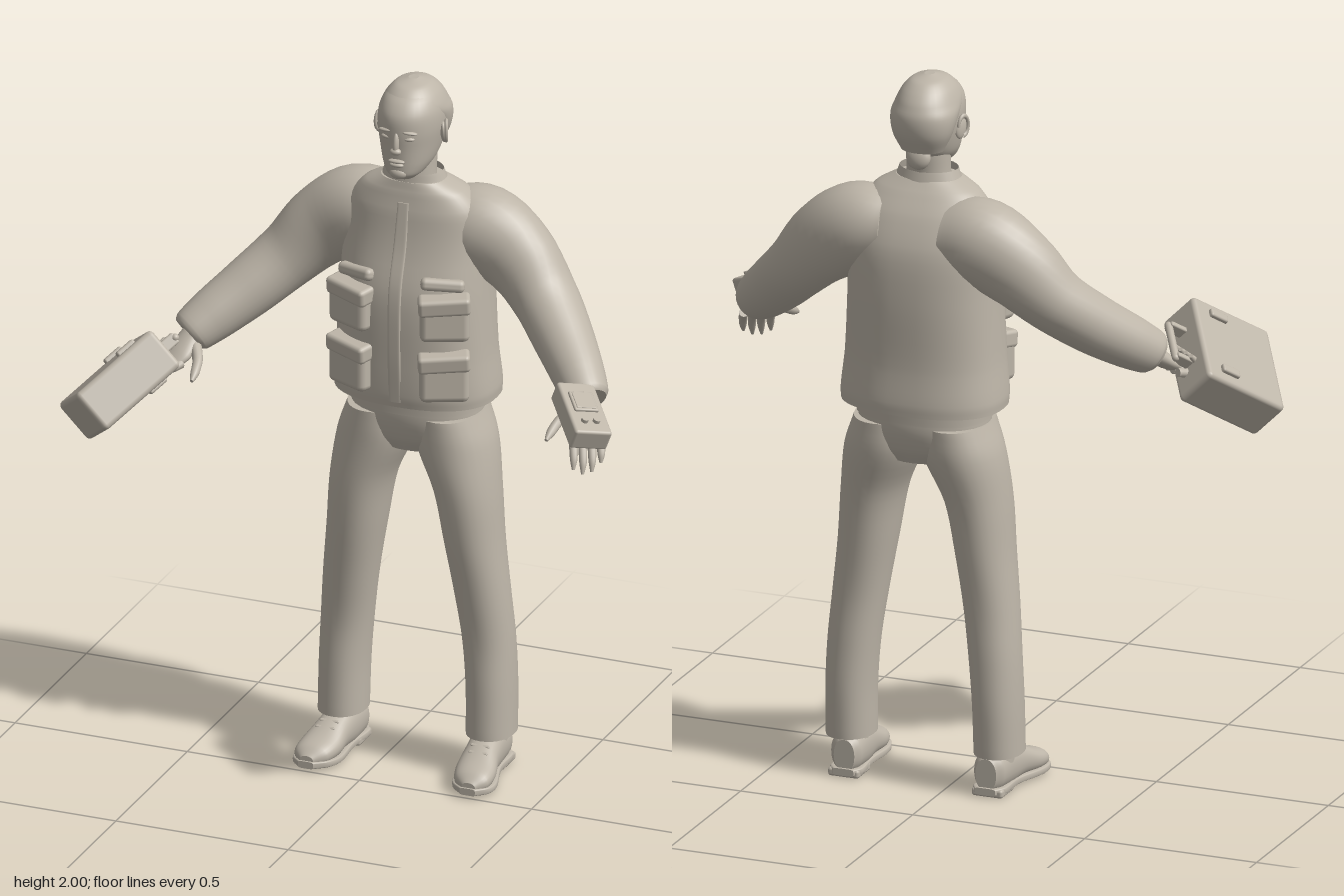
import * as THREE from 'three';
import { RoundedBoxGeometry } from 'three/addons/geometries/RoundedBoxGeometry.js';

const clay = new THREE.MeshStandardMaterial({ color: 0xbdb5a8, side: THREE.DoubleSide });
clay.name = 'warm grey clay';
const V = (x, y, z) => new THREE.Vector3(x, y, z);
const AXIS = { y: [V(0, 1, 0), V(0, 0, 1)], z: [V(0, 0, 1), V(0, 1, 0)] };

// Skin smooth rings through rows of [x, y, z, radiusU, radiusV]; rings face a fixed axis or follow the path
function sweep(rows, { axis, power = 2, steps = 5, sides = 28, caps = true } = {}) {
  const path = new THREE.CatmullRomCurve3(rows.map(r => V(r[0], r[1], r[2])));
  const size = new THREE.CatmullRomCurve3(rows.map(r => V(r[3], r[4] ?? r[3], 0)), false, 'catmullrom', 0.5);
  const n = (rows.length - 1) * steps, pos = [], idx = [];
  const rings = [];
  for (let i = 0; i <= n; i++) {
    const c = path.getPoint(i / n), s = size.getPoint(i / n);
    const t = axis ? AXIS[axis][0] : path.getTangent(i / n);
    const u = (axis ? AXIS[axis][1] : V(0, 1, 0)).clone().cross(t).normalize();
    const v = t.clone().cross(u);
    const ring = [];
    for (let j = 0; j < sides; j++) {
      const a = j / sides * Math.PI * 2, C = Math.cos(a), S = Math.sin(a);
      const p = c.clone()
        .addScaledVector(u, Math.sign(C) * Math.abs(C) ** (2 / power) * s.x)
        .addScaledVector(v, Math.sign(S) * Math.abs(S) ** (2 / power) * s.y);
      ring.push(p);
      pos.push(p.x, p.y, p.z);
    }
    rings.push([c, ring]);
  }
  for (let i = 0; i < n; i++) for (let j = 0; j < sides; j++) {
    const a = i * sides + j, b = i * sides + (j + 1) % sides;
    idx.push(a, b, a + sides, b, b + sides, a + sides);
  }
  if (caps) for (const end of [0, n]) {
    const [c, ring] = rings[end], base = pos.length / 3;
    pos.push(c.x, c.y, c.z);
    ring.forEach(p => pos.push(p.x, p.y, p.z));
    for (let j = 0; j < sides; j++) {
      const a = base + 1 + j, b = base + 1 + (j + 1) % sides;
      end ? idx.push(base, a, b) : idx.push(base, b, a);
    }
  }
  const g = new THREE.BufferGeometry();
  g.setAttribute('position', new THREE.Float32BufferAttribute(pos, 3));
  g.setIndex(idx);
  g.computeVertexNormals();
  return g;
}

function add(parent, name, geo, p = [0, 0, 0], r = [0, 0, 0], s = [1, 1, 1]) {
  const m = new THREE.Mesh(geo, clay);
  m.name = name;
  m.position.set(...p);
  m.rotation.set(...r);
  m.scale.set(...s);
  parent.add(m);
  return m;
}
const ball = new THREE.SphereGeometry(1, 20, 14);
const box = (w, h, d, r = 0.008) => new RoundedBoxGeometry(w, h, d, 2, r);
const flip = (rows, s) => rows.map(([x, ...rest]) => [x * s, ...rest]);

function frame(name, origin, x, y, z) {
  const g = new THREE.Group();
  g.name = name;
  g.quaternion.setFromRotationMatrix(new THREE.Matrix4().makeBasis(V(...x).normalize(), V(...y).normalize(), V(...z).normalize()));
  g.position.set(...origin);
  return g;
}

function buildHead(body) {
  const head = new THREE.Group();
  head.name = 'head';
  body.add(head);
  // Rows given as height, front z, back z, half width
  const skull = [[1.738, -0.095, -0.17, 0.03], [1.755, -0.072, -0.21, 0.05], [1.785, -0.068, -0.262, 0.068],
    [1.83, -0.066, -0.297, 0.08], [1.88, -0.063, -0.31, 0.088], [1.925, -0.068, -0.302, 0.086],
    [1.96, -0.092, -0.28, 0.072], [1.985, -0.13, -0.25, 0.047], [1.998, -0.175, -0.205, 0.014]];
  add(head, 'skull', sweep(skull.map(([y, f, b, w]) => [0, y, (f + b) / 2, w, (f - b) / 2]), { axis: 'y', power: 2.15, sides: 36 }));
  const hair = [[1.80, -0.19, -0.285, 0.06], [1.85, -0.17, -0.309, 0.083], [1.9, -0.13, -0.314, 0.092],
    [1.935, -0.082, -0.302, 0.085], [1.965, -0.1, -0.28, 0.07], [1.988, -0.13, -0.25, 0.047], [2.0, -0.175, -0.205, 0.014]];
  add(head, 'hair', sweep(hair.map(([y, f, b, w]) => [0, y, (f + b) / 2, w, (f - b) / 2]), { axis: 'y', power: 2.1, sides: 36 }));
  add(head, 'napeTuft', ball, [0, 1.785, -0.268], [0.2, 0, 0], [0.035, 0.035, 0.02]);
  add(head, 'neck', sweep([[0, 1.65, -0.2, 0.066, 0.062], [0, 1.72, -0.195, 0.06, 0.06], [0, 1.79, -0.2, 0.06, 0.065]], { axis: 'y' }));
  add(head, 'noseBridge', ball, [0, 1.855, -0.064], [-0.15, 0, 0], [0.009, 0.032, 0.012]);
  add(head, 'noseTip', ball, [0, 1.832, -0.06], [0, 0, 0], [0.016, 0.01, 0.012]);
  add(head, 'upperLip', ball, [0, 1.801, -0.067], [0, 0, 0], [0.024, 0.006, 0.01]);
  add(head, 'lowerLip', ball, [0, 1.79, -0.068], [0, 0, 0], [0.02, 0.007, 0.01]);
  add(head, 'chin', ball, [0, 1.762, -0.08], [0, 0, 0], [0.025, 0.017, 0.016]);
  for (const s of [-1, 1]) {
    add(head, 'eye', ball, [s * 0.034, 1.867, -0.075], [0, s * 0.3, 0], [0.015, 0.006, 0.008]);
    add(head, 'brow', ball, [s * 0.036, 1.886, -0.074], [0, s * 0.3, -s * 0.1], [0.021, 0.005, 0.009]);
    add(head, 'ear', ball, [s * 0.088, 1.855, -0.185], [0.2, s * 0.4, 0], [0.009, 0.032, 0.02]);
    add(head, 'earRim', new THREE.TorusGeometry(0.02, 0.005, 8, 20, 4.8), [s * 0.096, 1.86, -0.185], [0, Math.PI / 2 + s * 0.4, 0], [0.9, 1.4, 1]);
  }
}

function buildJacket(body) {
  add(body, 'jacket', sweep([[0, 1.085, -0.222, 0.228, 0.165], [0, 1.12, -0.22, 0.229, 0.168], [0, 1.22, -0.215, 0.219, 0.165],
    [0, 1.4, -0.218, 0.21, 0.163], [0, 1.54, -0.23, 0.205, 0.138], [0, 1.63, -0.218, 0.19, 0.11],
    [0, 1.685, -0.203, 0.145, 0.083], [0, 1.715, -0.193, 0.09, 0.066]], { axis: 'y', power: 2.4, sides: 48 }));
  add(body, 'collar', sweep([[0, 1.675, -0.195, 0.105, 0.075], [0, 1.71, -0.195, 0.092, 0.068], [0, 1.738, -0.193, 0.082, 0.063]],
    { axis: 'y', caps: false }));
  add(body, 'frontPlacket', sweep([[0, 1.1, -0.058, 0.018, 0.005], [0, 1.25, -0.05, 0.018, 0.005], [0, 1.42, -0.056, 0.018, 0.005],
    [0, 1.54, -0.092, 0.018, 0.005], [0, 1.66, -0.118, 0.016, 0.006]], { axis: 'y', power: 5 }));
  add(body, 'shirtHem', sweep([[0, 1.05, -0.222, 0.187, 0.137], [0, 1.12, -0.222, 0.19, 0.14]], { axis: 'y', power: 2.3 }));
  for (const s of [-1, 1]) {
    const flap = new THREE.Shape([[0.012, 0.03], [0.075, 0.035], [0.07, -0.005], [0.04, -0.025]].map(([x, y]) => new THREE.Vector2(x * s, y)));
    add(body, 'collarFlap', new THREE.ExtrudeGeometry(flap, { depth: 0.006, bevelEnabled: false }), [0, 1.685, -0.122], [-0.45, s * 0.3, 0]);
    // Bellows pockets in two tiers, each under a flap
    for (const [y, h, z] of [[1.355, 0.12, -0.079], [1.185, 0.13, -0.076]]) {
      add(body, 'pocket', box(0.135, h, 0.055, 0.018), [s * 0.135, y, z], [0, s * 0.42, 0]);
      add(body, 'pocketFlap', box(0.142, 0.05, 0.058, 0.012), [s * 0.136, y + h / 2 - 0.015, z + 0.005], [0.12, s * 0.42, 0]);
    }
    add(body, 'chestSeam', box(0.12, 0.035, 0.035, 0.014), [s * 0.125, 1.45, -0.089], [-0.2, s * 0.4, 0]);
    add(body, 'sleeve', sweep(flip([[0.09, 1.565, -0.245, 0.105, 0.105], [0.18, 1.56, -0.25, 0.112, 0.122], [0.28, 1.5, -0.243, 0.1, 0.112],
      [0.37, 1.41, -0.21, 0.092, 0.09], [0.455, 1.33, -0.14, 0.083, 0.082], [0.53, 1.265, -0.065, 0.072, 0.073],
      [0.572, 1.228, -0.018, 0.062, 0.062], [0.58, 1.22, -0.01, 0.052, 0.052]], s)));
  }
}

function buildLegs(body) {
  add(body, 'hips', sweep([[0, 0.93, -0.222, 0.1, 0.095], [0, 0.97, -0.222, 0.175, 0.118], [0, 1.03, -0.222, 0.184, 0.134],
    [0, 1.11, -0.22, 0.182, 0.135]], { axis: 'y', power: 2.2 }));
  for (const s of [-1, 1]) {
    add(body, 'trouserLeg', sweep(flip([[0.215, 0.11, -0.217, 0.066, 0.084], [0.213, 0.25, -0.222, 0.067, 0.084], [0.205, 0.38, -0.222, 0.07, 0.08],
      [0.19, 0.52, -0.212, 0.074, 0.084], [0.17, 0.67, -0.206, 0.079, 0.098], [0.15, 0.82, -0.207, 0.088, 0.112],
      [0.114, 0.95, -0.22, 0.107, 0.128], [0.1, 1.04, -0.222, 0.09, 0.13]], s), { axis: 'y', power: 2.15 }));
    add(body, 'shoe', sweep(flip([[0.206, 0.062, -0.293, 0.03, 0.045], [0.208, 0.066, -0.27, 0.045, 0.056], [0.211, 0.066, -0.2, 0.048, 0.062],
      [0.217, 0.06, -0.14, 0.05, 0.05], [0.225, 0.045, -0.08, 0.057, 0.037], [0.232, 0.037, -0.03, 0.049, 0.028], [0.235, 0.03, -0.002, 0.02, 0.014]], s),
      { axis: 'z', power: 2.2 }));
    add(body, 'sole', sweep(flip([[0.206, 0.017, -0.3, 0.03, 0.01], [0.208, 0.017, -0.27, 0.048, 0.011], [0.213, 0.017, -0.18, 0.045, 0.011],
      [0.225, 0.016, -0.08, 0.062, 0.011], [0.232, 0.018, -0.03, 0.054, 0.011], [0.235, 0.02, 0.004, 0.022, 0.01]], s),
      { axis: 'z', power: 5 }));
    add(body, 'heel', box(0.09, 0.024, 0.09), [s * 0.209, 0.012, -0.25]);
    add(body, 'ankle', sweep(flip([[0.211, 0.08, -0.222, 0.045, 0.06], [0.213, 0.16, -0.222, 0.045, 0.055]], s), { axis: 'y' }));
    for (let i = 0; i < 3; i++)
      add(body, 'lace', box(0.055, 0.006, 0.009, 0.003), [s * (0.216 + i * 0.003), 0.111 - i * 0.011, -0.148 + i * 0.022], [0.5, 0, 0]);
  }
}

function buildHands(body) {
  for (const s of [-1, 1]) {
    const hand = new THREE.Group();
    hand.name = s > 0 ? 'leftHand' : 'rightHand';
    body.add(hand);
    add(hand, 'palm', sweep(flip([[0.555, 1.24, -0.035, 0.032], [0.573, 1.212, 0.005, 0.036, 0.025], [0.588, 1.185, 0.04, 0.043, 0.021],
      [0.6, 1.168, 0.065, 0.036, 0.015]], s)));
    add(hand, 'thumb', sweep(flip([[0.55, 1.205, 0.015, 0.017], [0.525, 1.18, 0.06, 0.014], [0.517, 1.16, 0.1, 0.012], [0.515, 1.148, 0.126, 0.005]], s), { sides: 12 }));
    for (let i = 0; i < 4; i++) {
      const x = 0.568 + i * 0.021, z = 0.068 - i * 0.014, y = 1.168 - i * 0.002, l = [0.9, 1, 0.95, 0.75][i];
      // Left fingers hang open, right fingers curl round the case handle
      const rows = s > 0
        ? [[x, y, z, 0.013], [x + 0.018 * l, y - 0.035 * l, z + 0.038 * l, 0.012], [x + 0.03 * l, y - 0.07 * l, z + 0.065 * l, 0.01], [x + 0.034 * l, y - 0.097 * l, z + 0.078 * l, 0.004]]
        : [[x, y, z, 0.013], [x + 0.02, y - 0.005, z + 0.03, 0.012], [x + 0.035, y + 0.02, z + 0.04, 0.011], [x + 0.03, y + 0.045, z + 0.02, 0.006]];
      add(hand, 'finger', sweep(flip(rows, s), { sides: 12 }));
    }
  }
}

function buildCase(root) {
  // Local x runs along the handle, y through the thickness, z away from the hand
  const g = frame('briefcase', [-0.615, 1.135, 0.195], [0.482, 0.482, 0.732], [-0.7071, 0.7071, 0], [-0.5176, -0.5176, 0.6816]);
  root.add(g);
  add(g, 'caseShell', box(0.288, 0.128, 0.276, 0.014));
  for (const s of [-1, 1]) {
    add(g, 'caseClasp', box(0.026, 0.02, 0.06, 0.006), [s * 0.1, 0.066, -0.058]);
    add(g, 'caseFoot', box(0.026, 0.02, 0.06, 0.006), [s * 0.1, -0.062, -0.058]);
    add(g, 'handleMount', box(0.016, 0.034, 0.06, 0.005), [s * 0.056, 0, -0.16]);
  }
  add(g, 'caseHandle', new THREE.CapsuleGeometry(0.011, 0.115, 6, 14), [0, 0, -0.188], [0, 0, Math.PI / 2]);
}

function buildDevice(root) {
  // Local z runs from wrist to fingertips, y out of the screen
  const g = frame('wristDevice', [0.687, 1.225, 0.1], [0.72, -0.2, -0.665], [0.372, 0.911, 0.129], [0.58, -0.34, 0.73]);
  root.add(g);
  add(g, 'deviceShell', box(0.108, 0.062, 0.2, 0.008));
  add(g, 'screenFrame', box(0.07, 0.012, 0.075, 0.004), [0, 0.032, -0.02]);
  add(g, 'screen', box(0.056, 0.006, 0.06, 0.002), [0, 0.037, -0.02]);
  for (const s of [-1, 1])
    add(g, 'deviceButton', new THREE.CylinderGeometry(0.01, 0.01, 0.014, 16), [s * 0.017, 0.034, 0.055]);
}

export function createModel() {
  const root = new THREE.Group();
  root.name = 'standingFigure';
  const body = new THREE.Group();
  body.name = 'body';
  body.position.x = 0.08;
  root.add(body);
  [buildHead, buildJacket, buildLegs, buildHands].forEach(build => build(body));
  buildCase(root);
  buildDevice(root);
  return root;
}
